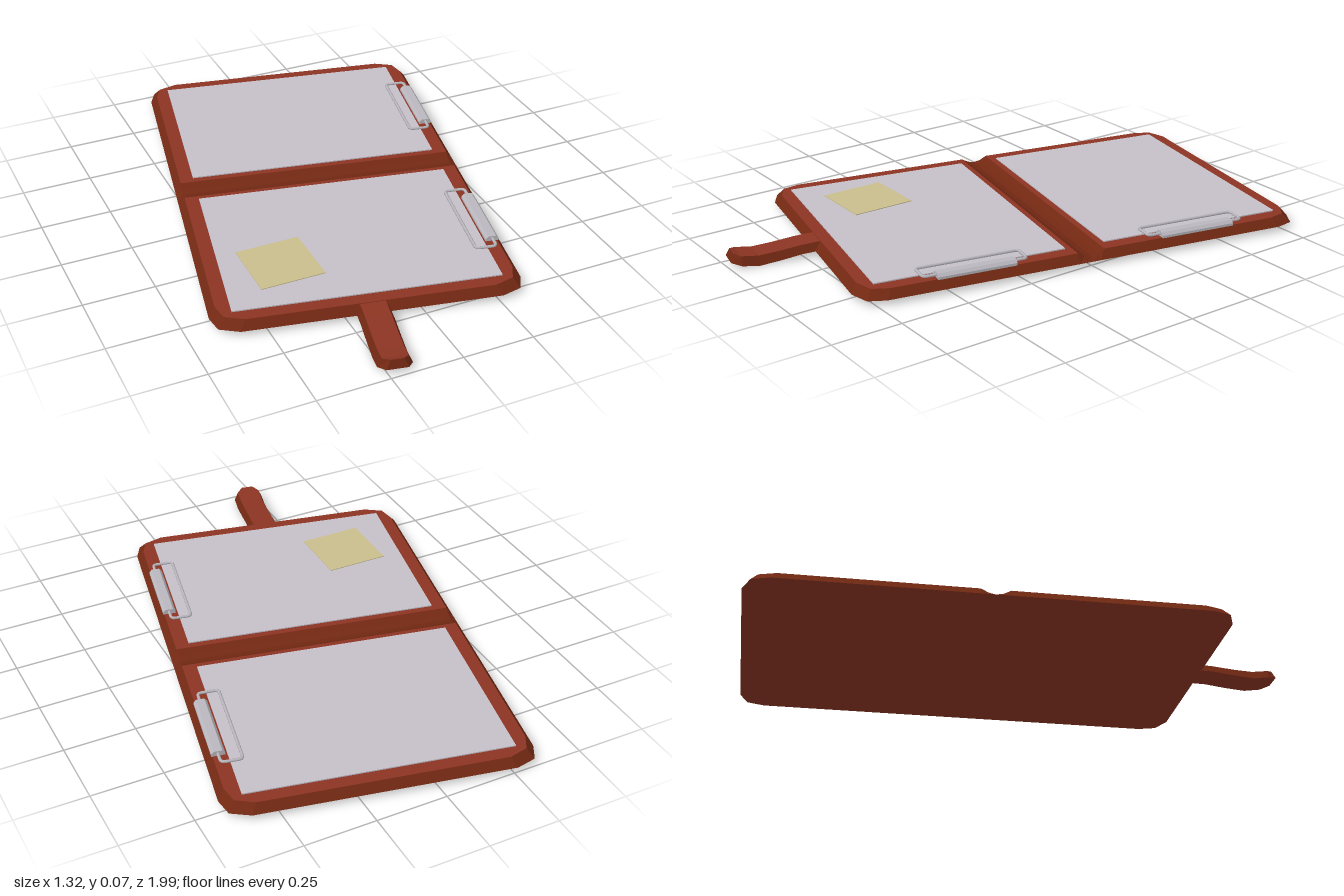
import * as THREE from 'three';

const BASE = 0.018, TOP = 0.048, TURN = -0.2;

function material(name, color) {
  const m = new THREE.MeshStandardMaterial({ color });
  m.name = name;
  return m;
}

// Solid between two matching convex rings; group 0 = caps' lower and side faces, 1 = top, 2 = underside
function loft(bottom, top) {
  const pos = [];
  const tri = (a, b, c) => pos.push(...a, ...b, ...c);
  const n = bottom.length;
  for (let i = 0; i < n; i++) {
    const j = (i + 1) % n;
    tri(bottom[i], bottom[j], top[j]);
    tri(bottom[i], top[j], top[i]);
  }
  for (let i = 1; i < n - 1; i++) tri(top[0], top[i], top[i + 1]);
  for (let i = 1; i < n - 1; i++) tri(bottom[0], bottom[i + 1], bottom[i]);
  const g = new THREE.BufferGeometry();
  g.setAttribute('position', new THREE.Float32BufferAttribute(pos, 3));
  g.addGroup(0, n * 6, 0);
  g.addGroup(n * 6, (n - 2) * 3, 1);
  g.addGroup(n * 6 + (n - 2) * 3, (n - 2) * 3, 2);
  g.computeVertexNormals();
  return g;
}

export function createModel() {
  const leather = material('leather', 0x8c3423);
  const edge = material('darkLeatherEdge', 0x722812);
  const paper = material('paper', 0xc5bfc8);
  const note = material('paleYellow', 0xc9bd8c);
  const metal = material('metal', 0xb9b7bd);

  const model = new THREE.Group();
  model.name = 'openFolder';
  const folder = new THREE.Group();
  folder.name = 'folder';
  folder.position.z = -0.105;
  folder.rotation.y = TURN;
  model.add(folder);

  const add = (parent, name, geometry, mat, x = 0, y = 0, z = 0) => {
    const mesh = new THREE.Mesh(geometry, mat);
    mesh.name = name;
    mesh.position.set(x, y, z);
    parent.add(mesh);
    return mesh;
  };

  // Two cover leaves with sloped edges and cut corners
  const half = [[-0.523, 0.05], [-0.523, 0.735], [-0.503, 0.797], [-0.435, 0.825]];
  const outline = [...half, ...half.slice().reverse().map(([x, z]) => [-x, z])];
  const leafGeometry = loft(
    outline.map(([x, z]) => [x, BASE, z]),
    outline.map(([x, z]) => [x * 0.957, TOP, z > 0.1 ? z * 0.972 : z])
  );
  for (const [name, turn] of [['frontLeaf', 0], ['backLeaf', Math.PI]]) {
    add(folder, name, leafGeometry, [edge, leather, leather]).rotation.y = turn;
  }

  // Spine groove, made of strips along the fold
  const spine = new THREE.Group();
  spine.name = 'spine';
  folder.add(spine);
  const groove = [[-0.05, TOP], [-0.025, 0.035], [0, 0.03], [0.025, 0.035], [0.05, TOP]];
  for (let i = 0; i < groove.length - 1; i++) {
    const [z0, y0] = groove[i], [z1, y1] = groove[i + 1];
    const w = 0.523, t = 0.5;
    add(spine, 'spineStrip', loft(
      [[-w, BASE, z0], [-w, BASE, z1], [w, BASE, z1], [w, BASE, z0]],
      [[-t, y0, z0], [-t, y1, z1], [t, y1, z1], [t, y0, z0]]
    ), [edge, edge, leather]);
  }

  // Closing strap: position, underside height, top height, half width
  const strap = new THREE.Group();
  strap.name = 'strap';
  folder.add(strap);
  const sections = [
    [0.79, 0.018, 0.047, 0.057], [0.87, 0.016, 0.044, 0.057], [0.95, 0.006, 0.036, 0.057],
    [1.02, 0, 0.032, 0.057], [1.08, 0.009, 0.04, 0.057], [1.112, 0.018, 0.048, 0.036]
  ];
  for (let i = 0; i < sections.length - 1; i++) {
    const [z0, b0, t0, w0] = sections[i], [z1, b1, t1, w1] = sections[i + 1];
    const s = 0.014, end = i === sections.length - 2 ? 0.01 : 0;
    add(strap, 'strapSection', loft(
      [[-w0, b0, z0], [-w1, b1, z1], [w1, b1, z1], [w0, b0, z0]],
      [[-w0 + s, t0, z0], [-w1 + s, t1, z1 - end], [w1 - s, t1, z1 - end], [w0 - s, t0, z0]]
    ), [edge, leather, leather]);
  }

  // Paper sheets
  for (const side of [-1, 1]) {
    add(folder, 'paperSheet', new THREE.BoxGeometry(0.904, 0.006, 0.683), paper, 0, 0.049, side * 0.415);
  }

  // Clips: a wire loop held by a bevelled bar
  const corners = [[0.41, -0.185], [0.41, 0.185], [0.483, 0.185], [0.483, -0.185]]
    .map(([x, z]) => new THREE.Vector3(x, 0.057, z));
  const wirePath = new THREE.CurvePath();
  corners.forEach((c, i) => {
    const prev = corners[(i + 3) % 4], next = corners[(i + 1) % 4], after = corners[(i + 2) % 4];
    const toward = (a, b) => a.clone().add(b.clone().sub(a).setLength(0.014));
    wirePath.add(new THREE.QuadraticBezierCurve3(toward(c, prev), c, toward(c, next)));
    wirePath.add(new THREE.LineCurve3(toward(c, next), toward(next, c)));
  });
  const wireGeometry = new THREE.TubeGeometry(wirePath, 96, 0.0055, 6, true);
  const barShape = new THREE.Shape([
    [-0.023, 0.047], [0.023, 0.047], [0.023, 0.056], [0.014, 0.066], [-0.014, 0.066], [-0.023, 0.056]
  ].map(([x, y]) => new THREE.Vector2(x, y)));
  const barGeometry = new THREE.ExtrudeGeometry(barShape, { depth: 0.28, bevelEnabled: false });
  for (const side of [-1, 1]) {
    const clip = new THREE.Group();
    clip.name = 'clip';
    clip.position.z = side * 0.414;
    folder.add(clip);
    add(clip, 'clipWire', wireGeometry, metal);
    add(clip, 'clipBar', barGeometry, metal, 0.482, 0, -0.14);
  }

  // Sticky note lying square to the model's axes
  add(model, 'stickyNote', new THREE.BoxGeometry(0.228, 0.003, 0.232), note, -0.349, 0.053, 0.363);

  return model;
}
